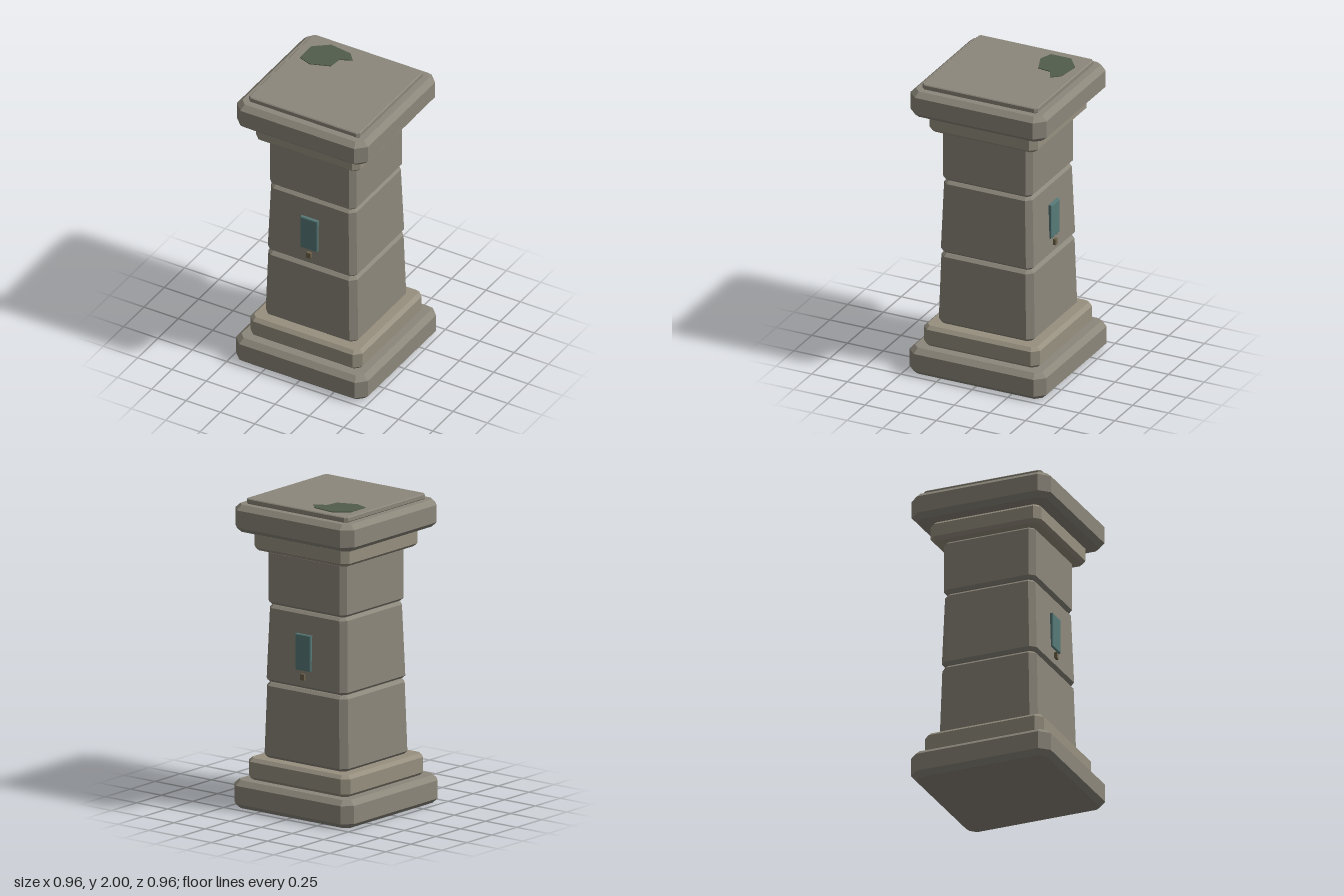
import * as THREE from 'three';

const material = (color) => new THREE.MeshStandardMaterial({ color, flatShading: true });

// Square ring with cut corners: half width h, corner cut c, height y
function ring(h, c, y) {
  const e = h - c;
  return [[h, -e], [h, e], [e, h], [-e, h], [-h, e], [-h, -e], [-e, -h], [e, -h]]
    .map(([x, z]) => [x, y, z]);
}

// Closed solid through a stack of rings, bottom to top
function loft(rings) {
  const pos = [];
  const tri = (...points) => points.forEach((p) => pos.push(...p));
  const n = rings[0].length;
  for (let r = 0; r < rings.length - 1; r++) {
    const lo = rings[r], up = rings[r + 1];
    for (let k = 0; k < n; k++) {
      const j = (k + 1) % n;
      tri(lo[k], up[k], lo[j]);
      tri(lo[j], up[k], up[j]);
    }
  }
  const bottom = rings[0], top = rings[rings.length - 1];
  for (let k = 1; k < n - 1; k++) {
    tri(bottom[0], bottom[k], bottom[k + 1]);
    tri(top[0], top[k + 1], top[k]);
  }
  const geometry = new THREE.BufferGeometry();
  geometry.setAttribute('position', new THREE.Float32BufferAttribute(pos, 3));
  geometry.computeVertexNormals();
  return geometry;
}

// Stone block, optionally tapered, with bevelled top and bottom edges
function block(y0, y1, h0, h1, cut, bevel) {
  return loft([
    ring(h0 - bevel, cut * 0.6, y0),
    ring(h0, cut, y0 + bevel * 0.9),
    ring(h1, cut, y1 - bevel * 0.9),
    ring(h1 - bevel, cut * 0.6, y1),
  ]);
}

export function createModel() {
  const group = new THREE.Group();
  const add = (name, geometry, mat, parent = group) => {
    const mesh = new THREE.Mesh(geometry, mat);
    mesh.name = name;
    parent.add(mesh);
    return mesh;
  };

  const stone = material(0x8c877b);
  const trim = material(0x979080);
  const moss = material(0x525d4c);
  const glass = material(0x567a78);
  const bronze = material(0x6e624a);

  // Stacked masonry: name, bottom, top, half widths, corner cut, bevel
  const courses = [
    ['basePlinth', 0, 0.18, 0.48, 0.48, 0.06, 0.035, stone],
    ['baseStep', 0.18, 0.32, 0.408, 0.408, 0.045, 0.024, trim],
    ['lowerShaft', 0.32, 0.805, 0.336, 0.324, 0.04, 0.022, stone],
    ['middleShaft', 0.81, 1.305, 0.325, 0.31, 0.036, 0.02, stone],
    ['upperShaft', 1.31, 1.663, 0.315, 0.315, 0.034, 0.02, stone],
    ['neckMoulding', 1.66, 1.785, 0.38, 0.38, 0.04, 0.023, trim],
    ['capSlab', 1.785, 1.96, 0.477, 0.477, 0.064, 0.035, stone],
    ['topPlate', 1.96, 1.995, 0.404, 0.404, 0.018, 0.006, stone],
  ];
  for (const [name, y0, y1, h0, h1, cut, bevel, mat] of courses) {
    add(name, block(y0, y1, h0, h1, cut, bevel), mat);
  }

  // Core closing the thin joints between courses
  const core = add('core', new THREE.BoxGeometry(0.54, 1.8, 0.54), stone);
  core.position.y = 1.0;

  // Plaque and small stud on the front and the back
  for (const [side, turn] of [['front', 0], ['back', Math.PI]]) {
    const panel = new THREE.Group();
    panel.name = `${side}Panel`;
    panel.rotation.y = turn;
    const plaqueShape = new THREE.Shape();
    plaqueShape.moveTo(-0.055, -0.11).lineTo(0.055, -0.11).lineTo(0.055, 0.11).lineTo(-0.055, 0.11);
    const plaque = add('plaque', new THREE.ExtrudeGeometry(plaqueShape, {
      depth: 0.03, bevelSize: 0.006, bevelThickness: 0.004, bevelSegments: 1,
    }), glass, panel);
    plaque.position.set(0, 1.046, 0.301);
    const stud = add('stud', new THREE.BoxGeometry(0.03, 0.04, 0.04), bronze, panel);
    stud.position.set(0, 0.888, 0.321);
    group.add(panel);
  }

  // Moss patch on the top plate
  const outline = [[-0.34, -0.13], [-0.253, -0.1], [-0.127, -0.148], [-0.116, -0.235],
    [-0.04, -0.274], [-0.09, -0.33], [-0.242, -0.349], [-0.34, -0.272]];
  const patch = new THREE.Shape(outline.map(([x, z]) => new THREE.Vector2(x, -z)));
  const patchGeometry = new THREE.ExtrudeGeometry(patch, { depth: 0.01, bevelEnabled: false });
  patchGeometry.rotateX(-Math.PI / 2);
  add('mossPatch', patchGeometry, moss).position.y = 1.99;

  return group;
}
